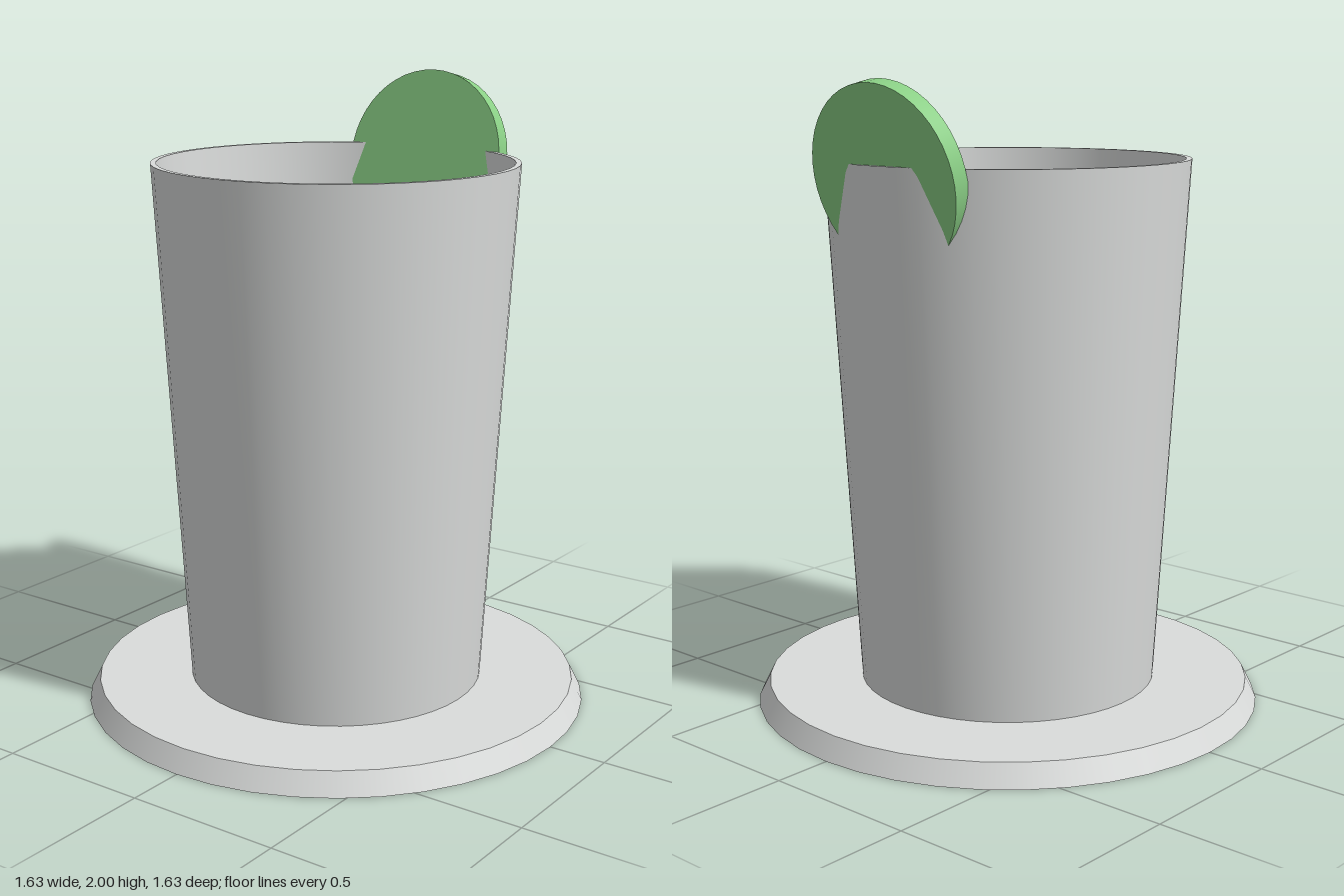
import * as THREE from 'three';
import { toCreasedNormals } from 'three/addons/utils/BufferGeometryUtils.js';

const material = (name, color) => {
  const m = new THREE.MeshStandardMaterial({ color });
  m.name = name;
  return m;
};

export function createModel() {
  const glass = material('pale grey glass', 0xdadcdb);
  const mint = material('mint drink', 0x7fd6a3);
  const lime = material('lime green', 0x8bd086);

  const model = new THREE.Group();
  model.name = 'drink';
  const add = (name, geometry, mat, x = 0, y = 0) => {
    const mesh = new THREE.Mesh(geometry, mat);
    mesh.name = name;
    mesh.position.set(x, y, 0);
    model.add(mesh);
    return mesh;
  };

  // Bevelled round coaster under the glass
  add('coaster', new THREE.CylinderGeometry(0.78, 0.815, 0.07, 40), glass, 0, 0.035);

  // Tapered tumbler: outer wall, thin rim, inner wall and floor
  const profile = [[0.478, 0.07], [0.575, 1.75], [0.557, 1.75], [0.46, 0.09], [0, 0.09]]
    .map(([r, y]) => new THREE.Vector2(r, y));
  add('tumbler', toCreasedNormals(new THREE.LatheGeometry(profile, 48), 0.7), glass);

  // Drink filling the tumbler to just below the rim
  add('liquid', new THREE.CylinderGeometry(0.49, 0.45, 1.47, 48), mint, 0, 0.835);

  // Round lime slice leaning outward across the rim
  const slice = add('limeSlice', new THREE.CylinderGeometry(0.29, 0.29, 0.055, 48), lime, 0.523, 1.711);
  slice.rotation.z = -THREE.MathUtils.degToRad(102);

  return model;
}
